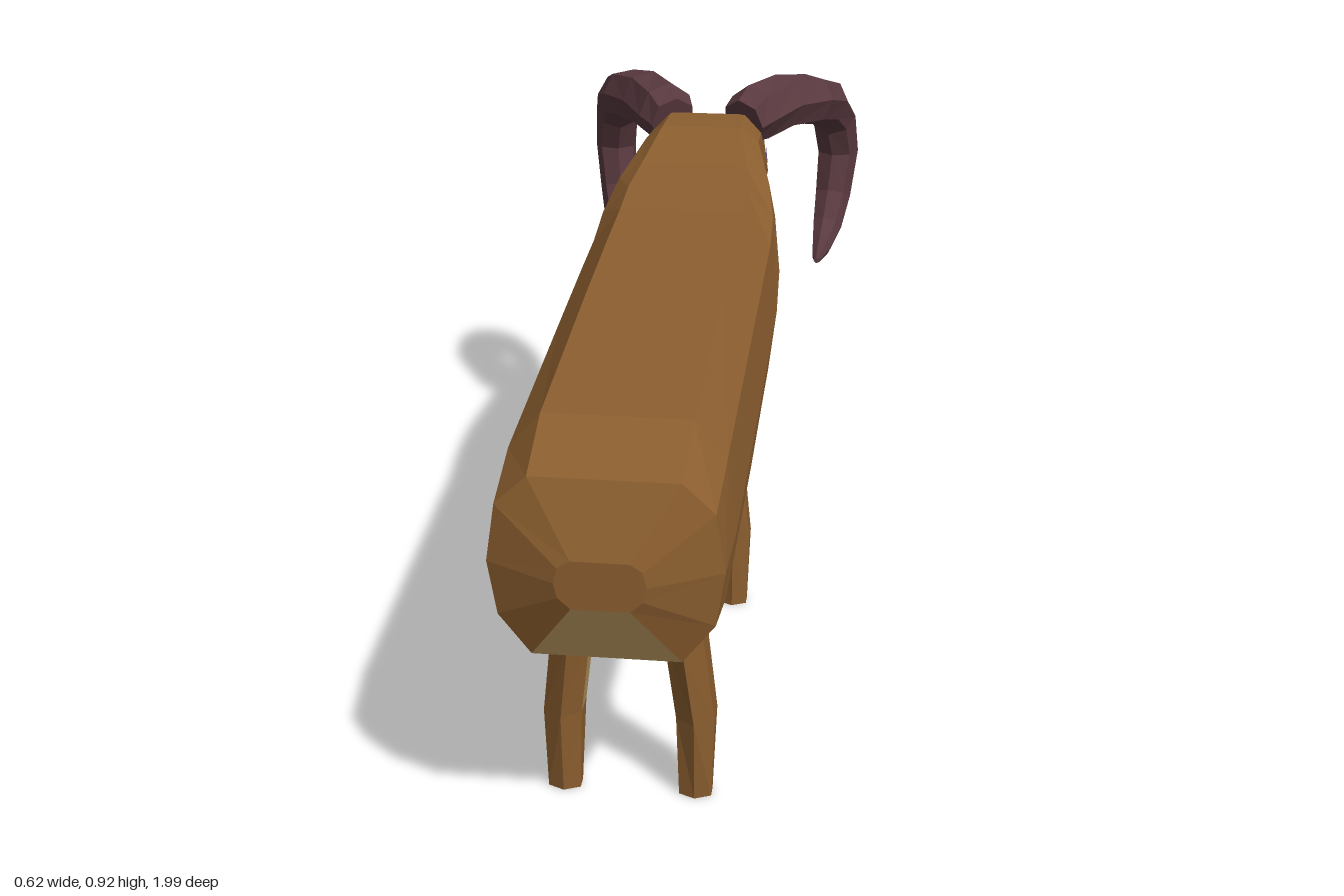
import * as THREE from 'three';

const V = (x, y, z) => new THREE.Vector3(x, y, z);
const material = (color) => new THREE.MeshStandardMaterial({ color, flatShading: true });

// Skins a list of equal-sized rings with closed ends; quads chosen by isPale go to a second geometry.
function loft(rings, isPale = () => false) {
  const main = [], pale = [];
  const n = rings[0].length, last = rings.length - 1;
  for (let i = 0; i < last; i++) {
    for (let j = 0; j < n; j++) {
      const k = (j + 1) % n;
      const a = rings[i][j], b = rings[i][k], c = rings[i + 1][k], d = rings[i + 1][j];
      (isPale(i, j) ? pale : main).push(a, d, c, a, c, b);
    }
  }
  for (let j = 1; j < n - 1; j++) {
    main.push(rings[0][0], rings[0][j], rings[0][j + 1]);
    main.push(rings[last][0], rings[last][j + 1], rings[last][j]);
  }
  return [main, pale];
}

// Mirrors a triangle list in x, keeping the faces outward.
function mirrored(points) {
  const out = points.map((p) => V(-p.x, p.y, p.z));
  for (let i = 0; i < out.length; i += 3) [out[i + 1], out[i + 2]] = [out[i + 2], out[i + 1]];
  return out;
}

function addMesh(group, name, points, mat) {
  const geometry = new THREE.BufferGeometry().setFromPoints(points);
  geometry.computeVertexNormals();
  const mesh = new THREE.Mesh(geometry, mat);
  mesh.name = name;
  group.add(mesh);
  return mesh;
}

// Ten-sided body section, counterclockwise seen from +z
function bodyRing([z, top, bottom, w]) {
  const h = top - bottom;
  const half = [
    [0.64 * w, bottom], [0.92 * w, bottom + 0.22 * h], [w, bottom + 0.52 * h],
    [0.92 * w, top - 0.16 * h], [0.64 * w, top],
  ];
  return [
    ...half.map(([x, y]) => V(x, y, z)),
    ...half.slice().reverse().map(([x, y]) => V(-x, y, z)),
  ];
}

// Six-sided leg section with a flat inner and outer face
function legRing([y, zFront, zBack, xIn, xOut]) {
  const ring = [];
  for (let j = 0; j < 6; j++) {
    const a = (j * Math.PI) / 3;
    ring.push(V(
      (xIn + xOut) / 2 + ((xOut - xIn) / 2) * Math.sin(a) / Math.sin(Math.PI / 3),
      y,
      (zFront + zBack) / 2 + ((zBack - zFront) / 2) * Math.cos(a),
    ));
  }
  return ring;
}

// Seven-sided tapering rings along the horn path
function hornRings(path) {
  const centres = path.map(([x, y, z]) => V(x, y, z));
  return path.map(([, , , r], i) => {
    const t = centres[Math.min(i + 1, path.length - 1)].clone()
      .sub(centres[Math.max(i - 1, 0)]).normalize();
    const u = V(1, 0, 0).addScaledVector(t, -t.x).normalize();
    const v = u.clone().cross(t);
    return Array.from({ length: 7 }, (_, j) => {
      const a = (j / 7) * Math.PI * 2;
      return centres[i].clone()
        .addScaledVector(u, r * Math.cos(a))
        .addScaledVector(v, r * Math.sin(a));
    });
  });
}

export function createModel() {
  const model = new THREE.Group();
  const brown = material(0x8b5e2f);
  const tan = material(0xb4935c);
  const hornMat = material(0x5a3a40);
  const eyeMat = material(0x9c8cd8);
  eyeMat.side = THREE.DoubleSide;

  // Body, neck and head: z, top, bottom, half width
  const sections = [
    [0.998, 0.58, 0.5, 0.07],
    [0.945, 0.69, 0.39, 0.182],
    [0.81, 0.735, 0.35, 0.186],
    [0.35, 0.775, 0.358, 0.186],
    [0.1, 0.792, 0.38, 0.186],
    [-0.04, 0.8, 0.39, 0.186],
    [-0.14, 0.815, 0.475, 0.183],
    [-0.25, 0.832, 0.62, 0.165],
    [-0.4, 0.87, 0.685, 0.128],
    [-0.52, 0.868, 0.65, 0.124],
    [-0.6, 0.832, 0.607, 0.124],
    [-0.68, 0.762, 0.595, 0.112],
    [-0.75, 0.69, 0.585, 0.09],
    [-0.815, 0.668, 0.572, 0.068],
    [-0.835, 0.65, 0.6, 0.055],
  ];
  const [hide, belly] = loft(sections.map(bodyRing), (i, j) => j === 9);
  const body = addMesh(model, 'body', hide, brown);
  addMesh(model, 'bellyAndThroat', belly, tan);

  // Legs: y, front z, back z, inner x, outer x
  const legs = {
    front: [
      [0.42, -0.04, 0.11, 0.045, 0.15],
      [0.375, -0.038, 0.1, 0.045, 0.13],
      [0.31, -0.03, 0.06, 0.062, 0.128],
      [0.15, -0.018, 0.052, 0.082, 0.145],
      [0, -0.003, 0.05, 0.085, 0.14],
    ],
    back: [
      [0.39, 0.63, 0.79, 0.045, 0.15],
      [0.34, 0.64, 0.77, 0.045, 0.125],
      [0.3, 0.645, 0.762, 0.062, 0.128],
      [0.15, 0.65, 0.745, 0.08, 0.145],
      [0, 0.683, 0.733, 0.085, 0.14],
    ],
  };
  for (const [name, rows] of Object.entries(legs)) {
    const [outer, inner] = loft(rows.map(legRing), (i, j) => j === 4 && i < 3);
    addMesh(model, `${name}LegLeft`, outer, brown);
    addMesh(model, `${name}LegLeftInner`, inner, tan);
    addMesh(model, `${name}LegRight`, mirrored(outer), brown);
    addMesh(model, `${name}LegRightInner`, mirrored(inner), tan);
  }

  // Horns: x, y, z, radius
  const [horn] = loft(hornRings([
    [0.075, 0.852, -0.52, 0.05],
    [0.095, 0.862, -0.555, 0.062],
    [0.145, 0.867, -0.64, 0.06],
    [0.205, 0.85, -0.74, 0.056],
    [0.235, 0.82, -0.84, 0.053],
    [0.253, 0.765, -0.915, 0.05],
    [0.262, 0.68, -0.947, 0.048],
    [0.254, 0.58, -0.922, 0.042],
    [0.245, 0.515, -0.87, 0.034],
    [0.238, 0.492, -0.79, 0.023],
    [0.234, 0.497, -0.71, 0.014],
    [0.234, 0.507, -0.64, 0.006],
  ]));
  addMesh(model, 'hornLeft', horn, hornMat);
  addMesh(model, 'hornRight', mirrored(horn), hornMat);

  // Eyes: small triangles laid on the sides of the head
  body.updateMatrixWorld();
  const eye = [[0.778, -0.61], [0.735, -0.62], [0.72, -0.665]].map(([y, z]) => {
    const hit = new THREE.Raycaster(V(1, y, z), V(-1, 0, 0)).intersectObject(body)[0];
    return V((hit ? hit.point.x : 0.11) + 0.004, y, z);
  });
  addMesh(model, 'eyeLeft', eye, eyeMat);
  addMesh(model, 'eyeRight', mirrored(eye), eyeMat);

  return model;
}
